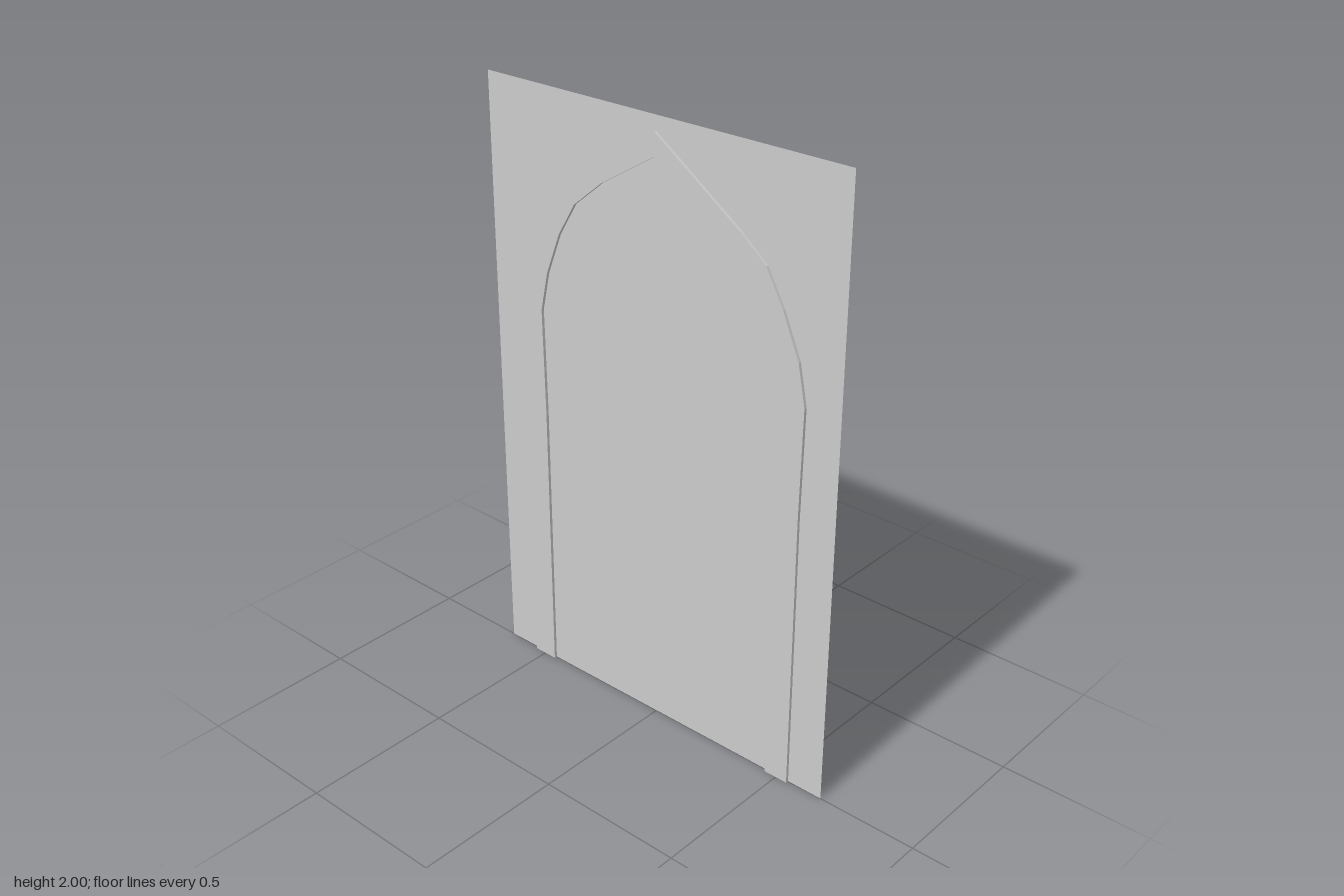
import * as THREE from 'three';

// Right half of each arch outline, from floor to apex
const OUTER = [[0.541, 0], [0.541, 0.94], [0.547, 1.29], [0.521, 1.42], [0.462, 1.557], [0.4, 1.668], [0.307, 1.743], [0, 1.954]];
const INNER = [[0.456, 0], [0.457, 0.94], [0.463, 1.29], [0.434, 1.42], [0.38, 1.557], [0.313, 1.668], [0.204, 1.758], [0, 1.883]];
const DEPTH = 0.02;

// Mirrors a half outline into a full run from right foot to left foot
function mirrored(half) {
  const left = half.slice(0, -1).reverse().map(([x, y]) => [-x, y]);
  return [...half, ...left].map(([x, y]) => new THREE.Vector2(x, y));
}

export function createModel() {
  const group = new THREE.Group();
  group.name = 'archedPanel';
  const material = new THREE.MeshStandardMaterial({ color: 0xcccccc, flatShading: true, side: THREE.DoubleSide });

  // Thin flat wall sheet
  const panel = new THREE.Mesh(new THREE.PlaneGeometry(1.33, 2), material);
  panel.name = 'wallPanel';
  panel.position.y = 1;
  group.add(panel);

  // Pointed arch moulding, standing proud on both faces of the sheet
  const shape = new THREE.Shape([...mirrored(OUTER), ...mirrored(INNER).reverse()]);
  const geometry = new THREE.ExtrudeGeometry(shape, { depth: DEPTH, bevelEnabled: false });
  geometry.translate(0, 0, -DEPTH / 2);
  const arch = new THREE.Mesh(geometry, material);
  arch.name = 'archMoulding';
  group.add(arch);

  return group;
}
